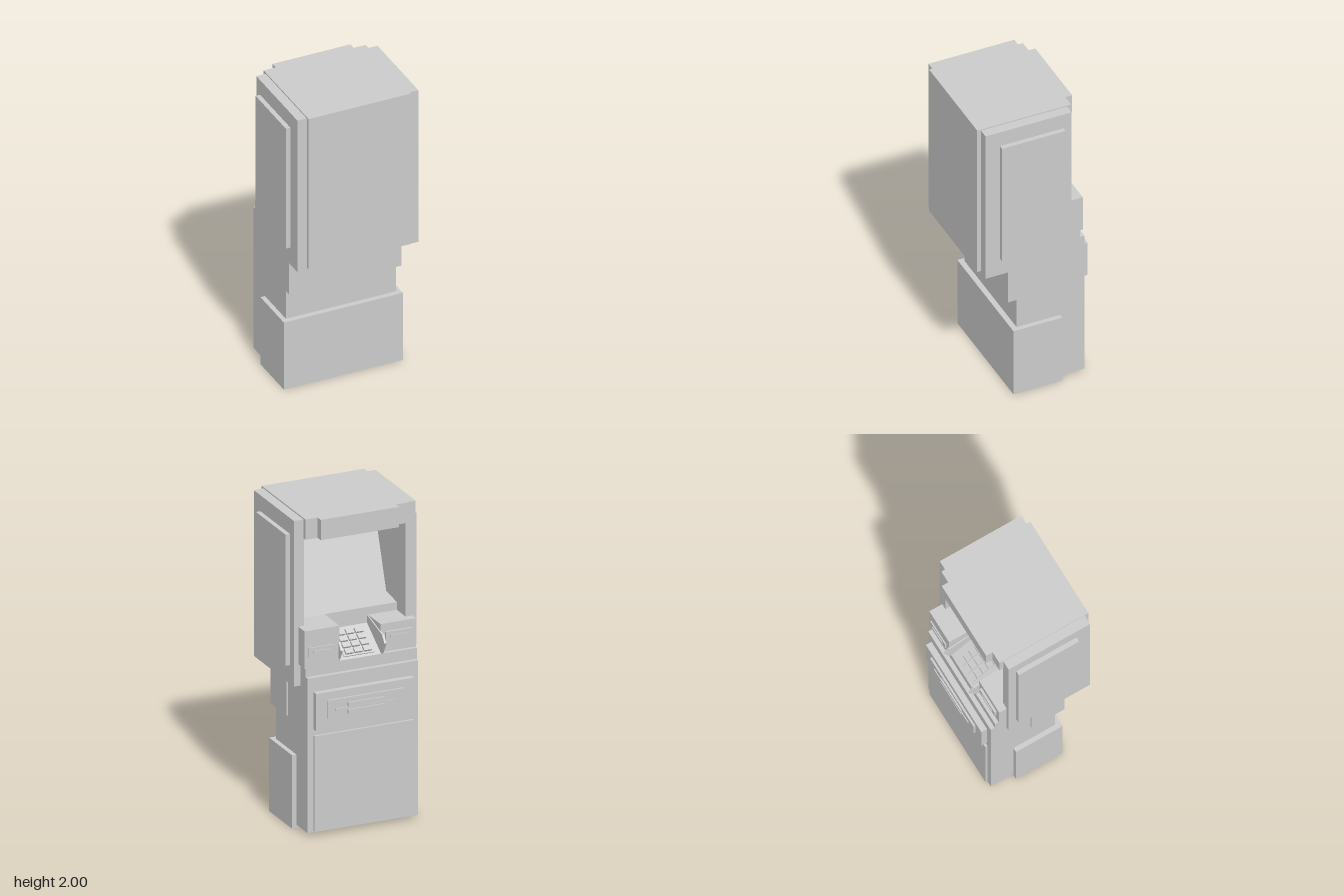
import * as THREE from 'three';

const grey = new THREE.MeshStandardMaterial({ color: 0xcccccc, flatShading: true });

export function createModel() {
  const model = new THREE.Group();

  const add = (name, geometry, parent = model) => {
    const mesh = new THREE.Mesh(geometry, grey);
    mesh.name = name;
    parent.add(mesh);
    return mesh;
  };

  // Box given by its limits on each axis
  const box = (name, x0, x1, y0, y1, z0, z1, parent) => {
    const mesh = add(name, new THREE.BoxGeometry(x1 - x0, y1 - y0, z1 - z0), parent);
    mesh.position.set((x0 + x1) / 2, (y0 + y1) / 2, (z0 + z1) / 2);
    return mesh;
  };

  // Side profile of [z, y] points, extruded along x
  const sideProfile = (name, points, x0, x1) => {
    const shape = new THREE.Shape(points.map(([z, y]) => new THREE.Vector2(-z, y)));
    const geometry = new THREE.ExtrudeGeometry(shape, { depth: x1 - x0, bevelEnabled: false });
    geometry.rotateY(Math.PI / 2);
    geometry.translate(x0, 0, 0);
    return add(name, geometry);
  };

  // Group lying on a slope in the side plane, local +z pointing out of the slope
  const slope = (name, [z0, y0], [z1, y1]) => {
    const group = new THREE.Group();
    const up = new THREE.Vector3(0, y1 - y0, z1 - z0).normalize();
    const right = new THREE.Vector3(-1, 0, 0);
    const out = new THREE.Vector3().crossVectors(right, up);
    group.quaternion.setFromRotationMatrix(new THREE.Matrix4().makeBasis(right, up, out));
    group.position.set(0, (y0 + y1) / 2, (z0 + z1) / 2);
    group.name = name;
    model.add(group);
    return group;
  };

  // Lower cabinet
  box('baseBlock', -0.40, 0.39, 0, 0.47, -0.16, 0.165);
  box('cabinet', -0.37, 0.36, 0.02, 1.01, -0.318, 0.13);
  box('neckBlock', -0.38, 0.37, 0.68, 0.96, -0.04, 0.19);
  box('serviceDoor', -0.332, 0.322, 0.03, 0.64, -0.333, -0.31);

  // Cash drawer with its slot
  box('drawerFront', -0.325, 0.322, 0.68, 0.92, -0.357, -0.31);
  box('drawerPlate', -0.255, 0.252, 0.75, 0.87, -0.37, -0.35);
  box('slotBar', -0.2, 0.2, 0.797, 0.813, -0.376, -0.365);
  box('slotFrameTop', -0.12, 0.12, 0.815, 0.84, -0.38, -0.365);
  box('slotFrameBottom', -0.12, 0.12, 0.77, 0.795, -0.38, -0.365);

  // Hood: hollow section open to the user, with shelf and sloping screen wall
  const screenLow = [0.06, 1.33];
  const screenHigh = [0.25, 1.87];
  sideProfile('hood', [
    [0.38, 0.945], [0.38, 2], [-0.21, 2], [-0.21, 1.87], screenHigh, screenLow,
    [-0.09, 1.31], [-0.09, 0.945],
  ], -0.34, 0.338);
  for (const s of [-1, 1]) {
    box('hoodSide', Math.min(s * 0.335, s * 0.402), Math.max(s * 0.335, s * 0.402), 0.93, 1.992, -0.213, 0.355);
    box('sidePanel', Math.min(s * 0.39, s * 0.432), Math.max(s * 0.39, s * 0.432), 1.05, 1.89, -0.16, 0.26);
  }
  box('hoodLip', -0.34, 0.338, 1.87, 2, -0.24, -0.2);
  box('hoodLipFront', -0.26, 0.258, 1.87, 2, -0.285, -0.2);

  // Screen
  const screen = slope('screen', screenLow, screenHigh);
  box('screenPanel', -0.3, 0.3, -0.25, 0.25, -0.01, 0.006, screen);

  // Console with a reader block on each side of the keypad
  box('consoleBase', -0.375, 0.36, 0.945, 1.08, -0.29, -0.08);
  box('leftReaderBlock', 0.143, 0.373, 1.07, 1.31, -0.302, -0.08);
  box('rightReaderBlock', -0.38, -0.145, 1.07, 1.26, -0.265, -0.08);
  const reader = (name, x0, x1, y, z) => {
    box(name + 'Plate', x0, x1, y - 0.03, y + 0.03, z, z + 0.02);
    box(name + 'Slot', x0 + 0.03, x1 - 0.03, y - 0.008, y + 0.008, z - 0.006, z + 0.01);
  };
  reader('leftReader', 0.175, 0.35, 1.17, -0.31);
  reader('rightReader', -0.35, -0.175, 1.18, -0.28);

  // Keypad bed, guards and keys
  const padLow = [-0.29, 1.08];
  const padHigh = [-0.09, 1.21];
  sideProfile('keypadBed', [[-0.29, 1.05], padLow, padHigh, [-0.08, 1.05]], -0.146, 0.144);
  for (const x of [-0.145, 0.143]) {
    sideProfile('keypadGuard', [
      [-0.29, 1.08], [-0.337, 1.16], [-0.305, 1.205], [-0.09, 1.26], [-0.09, 1.08],
    ], x - 0.007, x + 0.007);
  }
  const keypad = slope('keypad', padLow, padHigh);
  box('keypadPlate', -0.1, 0.1, -0.1, 0.1, -0.005, 0.006, keypad);
  for (let row = 0; row < 4; row++) {
    for (let col = 0; col < 3; col++) {
      const x = (col - 1) * 0.06, y = (row - 1.5) * 0.047;
      box('key', x - 0.025, x + 0.025, y - 0.018, y + 0.018, 0, 0.02, keypad);
    }
  }

  return model;
}
